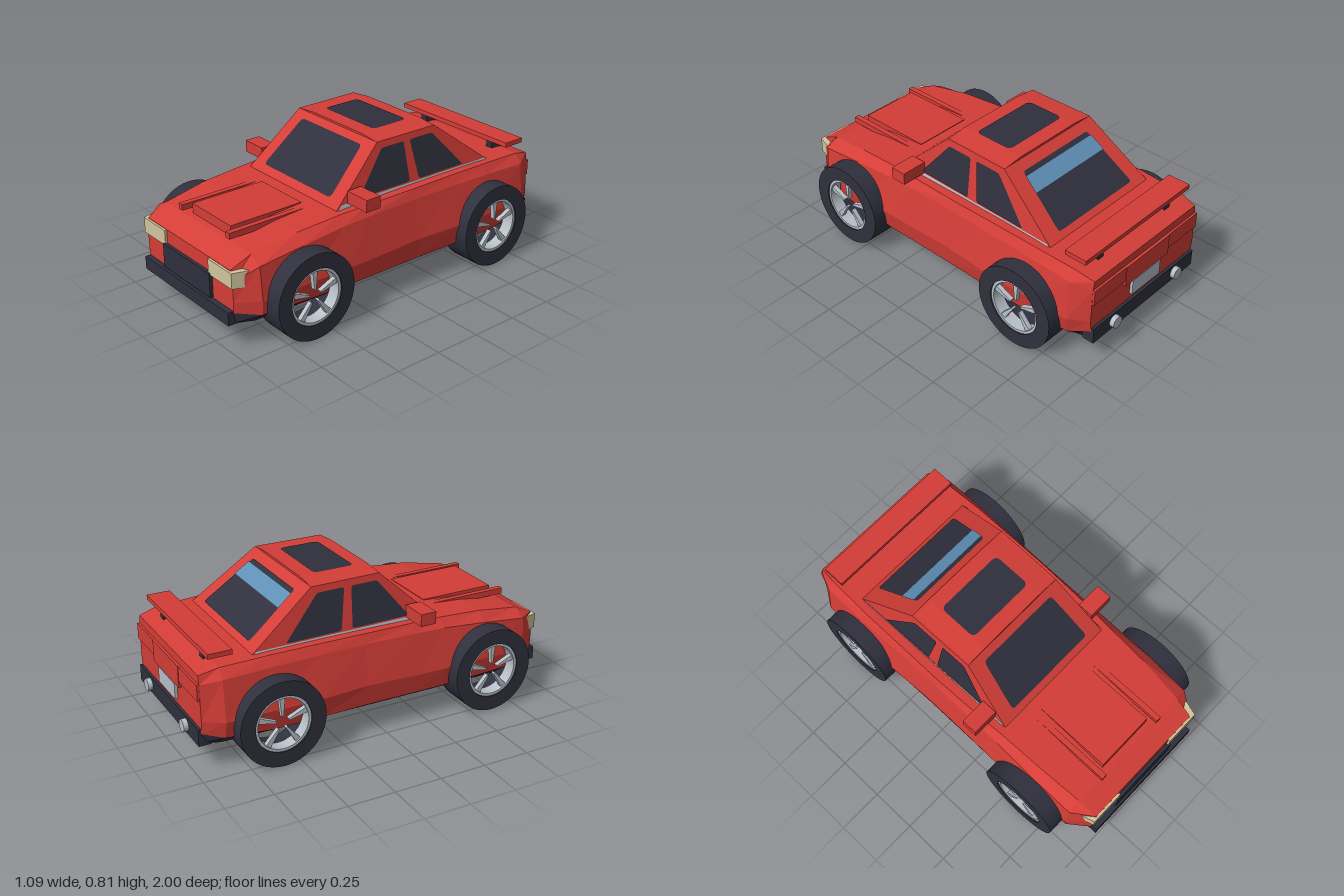
import * as THREE from 'three';

const mat = (name, color) => {
  const m = new THREE.MeshStandardMaterial({ color, side: THREE.DoubleSide });
  m.name = name;
  return m;
};

export function createModel() {
  const car = new THREE.Group();
  car.name = 'car';
  const red = mat('red paint', 0xd43d37);
  const dark = mat('dark rubber and glass', 0x30303e);
  const chrome = mat('chrome', 0xb8c0c8);
  const cream = mat('headlight cream', 0xd2c69e);
  const blue = mat('blue tint', 0x5f90b6);

  const add = (name, geo, material, parent = car) => {
    const m = new THREE.Mesh(geo, material);
    m.name = name;
    parent.add(m);
    return m;
  };
  // box given by its limits on each axis
  const box = (name, [x0, x1], [y0, y1], [z0, z1], material) => {
    const g = new THREE.BoxGeometry(x1 - x0, y1 - y0, z1 - z0);
    g.translate((x0 + x1) / 2, (y0 + y1) / 2, (z0 + z1) / 2);
    return add(name, g, material);
  };

  // ---- body: z, then half cross-section from underside to top
  const sections = [
    [-0.96, [0.38, 0.14], [0.40, 0.20], [0.41, 0.27], [0.405, 0.46], [0.395, 0.505]],
    [-0.86, [0.39, 0.125], [0.455, 0.18], [0.475, 0.27], [0.45, 0.48], [0.41, 0.53]],
    [-0.60, [0.39, 0.12], [0.465, 0.165], [0.485, 0.275], [0.45, 0.49], [0.42, 0.54]],
    [-0.36, [0.39, 0.12], [0.465, 0.165], [0.488, 0.275], [0.445, 0.49], [0.42, 0.54]],
    [-0.10, [0.39, 0.12], [0.46, 0.165], [0.477, 0.28], [0.44, 0.49], [0.42, 0.538]],
    [0.20, [0.39, 0.12], [0.46, 0.165], [0.477, 0.27], [0.44, 0.485], [0.41, 0.532]],
    [0.36, [0.39, 0.12], [0.46, 0.165], [0.48, 0.27], [0.44, 0.48], [0.40, 0.525]],
    [0.61, [0.39, 0.12], [0.455, 0.17], [0.47, 0.265], [0.445, 0.46], [0.39, 0.507]],
    [0.86, [0.39, 0.125], [0.45, 0.18], [0.457, 0.255], [0.44, 0.43], [0.37, 0.467]],
    [0.97, [0.36, 0.135], [0.37, 0.195], [0.375, 0.25], [0.375, 0.36], [0.36, 0.415]],
  ];
  const rings = sections.map(([z, ...half]) => [
    ...half.map(([x, y]) => [x, y, z]),
    ...half.slice().reverse().map(([x, y]) => [-x, y, z]),
  ]);
  const loft = (strips, caps) => {
    const pos = [];
    const tri = (...p) => p.forEach((v) => pos.push(...v));
    for (let i = 0; i < rings.length - 1; i++) {
      const a = rings[i], b = rings[i + 1];
      for (const k of strips) {
        const n = (k + 1) % 10;
        tri(a[k], a[n], b[k]);
        tri(a[n], b[n], b[k]);
      }
    }
    if (caps) {
      const back = rings[0], front = rings[rings.length - 1];
      for (let k = 1; k < 9; k++) {
        tri(front[0], front[k], front[k + 1]);
        tri(back[0], back[k + 1], back[k]);
      }
    }
    const g = new THREE.BufferGeometry();
    g.setAttribute('position', new THREE.Float32BufferAttribute(pos, 3));
    g.computeVertexNormals();
    return g;
  };
  add('body', loft([1, 2, 3, 4, 5, 6, 7], true), red);
  add('underbody', loft([0, 8, 9], false), dark);

  // ---- cabin: a box sheared to sloping planes
  const sideX = (y, z) => 0.365 - 0.185 * (y - 0.53) - 0.015 * z;
  const frontZ = (y) => 0.34 - 1.086 * (y - 0.53);
  const rearZ = (y) => -0.67 + 1.32 * (y - 0.54);
  const cabin = new THREE.BoxGeometry(2, 2, 2);
  const cp = cabin.attributes.position;
  for (let i = 0; i < cp.count; i++) {
    const y = cp.getY(i) > 0 ? 0.797 : 0.5;
    const z = cp.getZ(i) > 0 ? frontZ(y) : rearZ(y);
    cp.setXYZ(i, Math.sign(cp.getX(i)) * sideX(y, z), y, z);
  }
  cabin.computeVertexNormals();
  add('cabin', cabin, red);
  const crown = new THREE.Shape([[-0.315, 0.796], [0.315, 0.796], [0.2, 0.808], [-0.2, 0.808]].map((p) => new THREE.Vector2(...p)));
  add('roofPanel', new THREE.ExtrudeGeometry(crown, { depth: 0.38, bevelEnabled: false }).translate(0, 0, -0.33), red);

  // thin plate with rounded corners, laid on a surface by a rule
  const plate = (name, pts, r, place, material) => {
    const s = new THREE.Shape();
    const v = pts.map((p) => new THREE.Vector2(...p));
    v.forEach((c, i) => {
      const prev = v[(i + v.length - 1) % v.length], next = v[(i + 1) % v.length];
      const a = c.clone().add(prev.clone().sub(c).setLength(r));
      const b = c.clone().add(next.clone().sub(c).setLength(r));
      if (i) s.lineTo(a.x, a.y); else s.moveTo(a.x, a.y);
      s.quadraticCurveTo(c.x, c.y, b.x, b.y);
    });
    s.closePath();
    const g = new THREE.ShapeGeometry(s, 4);
    const p = g.attributes.position;
    for (let i = 0; i < p.count; i++) p.setXYZ(i, ...place(p.getX(i), p.getY(i)));
    g.computeVertexNormals();
    add(name, g, material);
  };
  plate('windshield', [[-0.275, 0.56], [0.275, 0.56], [0.24, 0.77], [-0.24, 0.77]], 0.02,
    (x, y) => [x, y, frontZ(y) + 0.007], dark);
  plate('rearWindow', [[-0.28, 0.563], [0.28, 0.563], [0.24, 0.765], [-0.24, 0.765]], 0.015,
    (x, y) => [x, y, rearZ(y) - 0.007], dark);
  plate('rearWindowTint', [[-0.258, 0.695], [0.258, 0.695], [0.246, 0.751], [-0.246, 0.751]], 0.004,
    (x, y) => [x, y, rearZ(y) - 0.013], blue);
  plate('sunroof', [[-0.195, -0.25], [0.195, -0.25], [0.195, -0.03], [-0.195, -0.03]], 0.03,
    (x, z) => [x, 0.812, z], dark);
  for (const s of [1, -1]) {
    const onSide = (z, y) => [s * (sideX(y, z) + 0.005), y, z];
    plate('frontSideWindow', [[0.20, 0.555], [0.03, 0.765], [-0.115, 0.765], [-0.128, 0.555]], 0.014, onSide, dark);
    plate('rearSideWindow', [[-0.19, 0.555], [-0.155, 0.765], [-0.305, 0.765], [-0.495, 0.555]], 0.014, onSide, dark);
    plate('windowTrim', [[0.34, 0.525], [0.315, 0.549], [-0.655, 0.549], [-0.67, 0.53]], 0.003, onSide, chrome);
  }

  // ---- nose, hood and tail
  box('hoodPanel', [-0.165, 0.165], [0.46, 0.525], [0.41, 0.83], red);
  box('grille', [-0.205, 0.205], [0.21, 0.34], [0.95, 0.988], dark);
  box('frontBumper', [-0.37, 0.37], [0.135, 0.205], [0.92, 1.0], dark);
  box('rearBumper', [-0.4, 0.4], [0.135, 0.225], [-0.975, -0.91], dark);
  box('tailPanel', [-0.405, 0.405], [0.375, 0.46], [-0.972, -0.92], red);
  box('tailPanelCentre', [-0.17, 0.17], [0.345, 0.46], [-0.975, -0.93], red);
  box('numberPlate', [-0.11, 0.11], [0.255, 0.34], [-0.975, -0.94], chrome);
  box('spoiler', [-0.405, 0.405], [0.58, 0.605], [-0.91, -0.786], red);
  for (const s of [1, -1]) {
    const span = (a, b) => (s > 0 ? [a, b] : [-b, -a]);
    box('hoodRib', span(0.19, 0.22), [0.488, 0.52], [0.41, 0.875], red);
    box('mirror', span(0.355, 0.5), [0.547, 0.612], [0.185, 0.272], red);
    box('spoilerPost', span(0.24, 0.28), [0.52, 0.582], [-0.885, -0.81], dark);

    // wedge headlight wrapping round the corner
    const plan = [[0.19, 0.93], [0.3, 0.9], [0.435, 0.9], [0.385, 0.982], [0.19, 0.982]];
    const lamp = new THREE.Shape(plan.map(([x, z]) => new THREE.Vector2(s * Math.min(x, 0.41), -z)));
    add('headlight', new THREE.ExtrudeGeometry(lamp, { depth: 0.082, bevelEnabled: false })
      .rotateX(-Math.PI / 2).translate(0, 0.33, 0), cream);

    const pipe = new THREE.CylinderGeometry(0.033, 0.033, 0.06, 16).rotateX(Math.PI / 2);
    add('exhaust', pipe.translate(s * 0.245, 0.18, -0.97), chrome);
  }

  // ---- wheels: open tyre, rim ring and five tapered spokes, axis along x
  const ring = (inner, outer, x0, x1) => {
    const shape = new THREE.Shape().absarc(0, 0, outer, 0, Math.PI * 2);
    shape.holes.push(new THREE.Path().absarc(0, 0, inner, 0, Math.PI * 2, true));
    return new THREE.ExtrudeGeometry(shape, { depth: x1 - x0, bevelEnabled: false, curveSegments: 36 })
      .translate(0, 0, x0).rotateY(Math.PI / 2);
  };
  const tyre = ring(0.148, 0.226, 0.382, 0.545);
  const rim = ring(0.134, 0.15, 0.47, 0.538);
  const spokeShape = new THREE.Shape([[-0.005, 0.035], [0.005, 0.035], [0.015, 0.138], [-0.015, 0.138]]
    .map((p) => new THREE.Vector2(...p)));
  const spoke = new THREE.ExtrudeGeometry(spokeShape, { depth: 0.025, bevelEnabled: false })
    .translate(0, 0, 0.505).rotateY(Math.PI / 2);
  for (const [place, z] of [['front', 0.61], ['rear', -0.595]]) {
    for (const s of [1, -1]) {
      const wheel = new THREE.Group();
      wheel.name = place + (s > 0 ? 'LeftWheel' : 'RightWheel');
      add('tyre', tyre, dark, wheel);
      add('rim', rim, chrome, wheel);
      for (let i = 0; i < 5; i++) add('spoke', spoke, chrome, wheel).rotation.x = (i * Math.PI * 2) / 5;
      wheel.position.set(0, 0.226, z);
      if (s < 0) wheel.rotation.y = Math.PI;
      car.add(wheel);
    }
  }
  return car;
}
